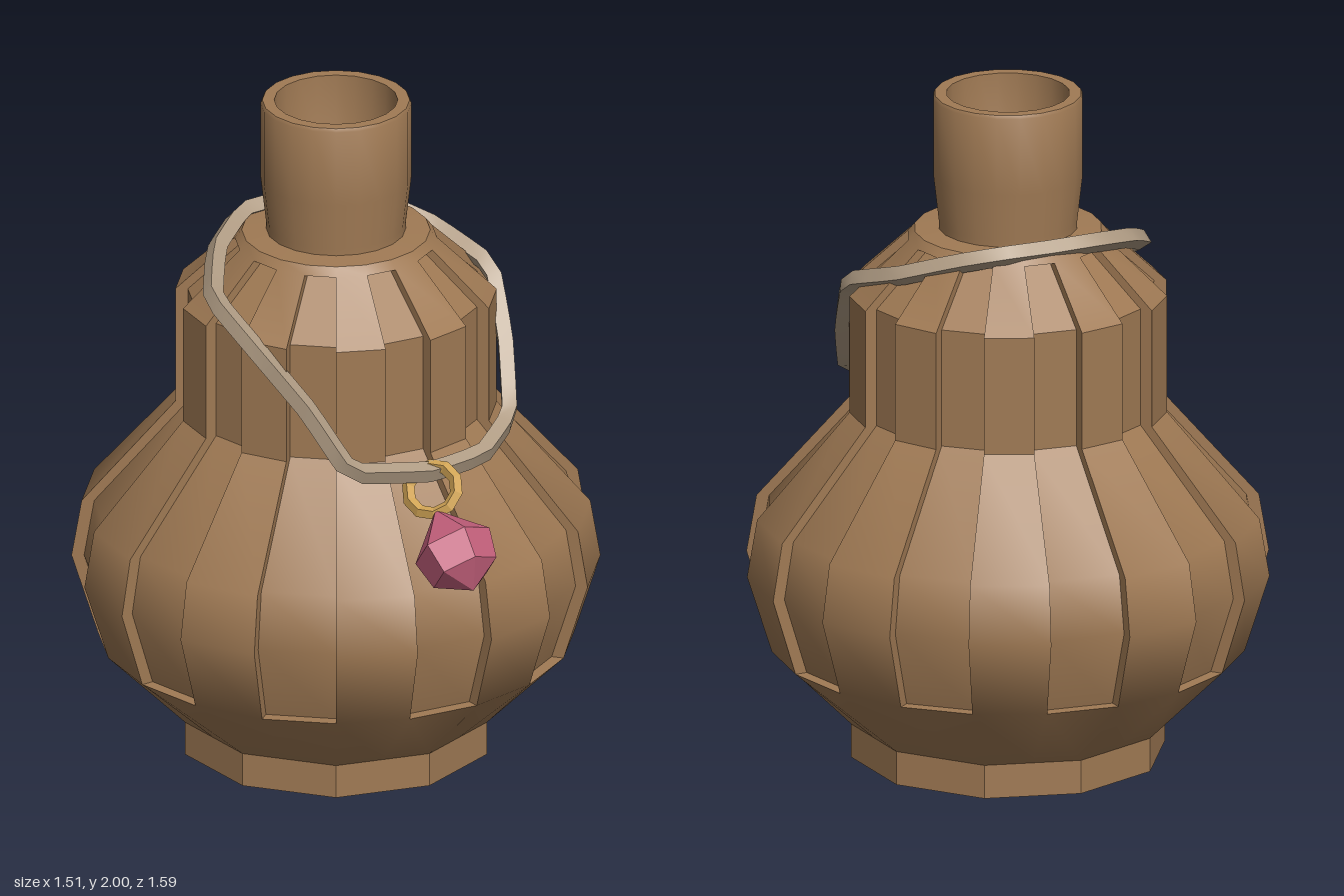
import * as THREE from 'three';
import { toCreasedNormals } from 'three/addons/utils/BufferGeometryUtils.js';

const CENTER_Z = -0.035;
const COLUMNS = 20;
const STEP = (Math.PI * 2) / COLUMNS;

function part(name, geometry, color, flatShading = false) {
  const material = new THREE.MeshStandardMaterial({ color, flatShading, side: THREE.DoubleSide });
  const mesh = new THREE.Mesh(geometry, material);
  mesh.name = name;
  return mesh;
}

// Faceted body: every other column is a recessed groove with walls and ledges
function bodyGeometry() {
  const inset = 0.036;
  // [radius, height]
  const rows = [
    [0, 0], [0.455, 0.02], [0.455, 0.12], [0.685, 0.35], [0.757, 0.58], [0.728, 0.75],
    [0.46, 1.06], [0.46, 1.41], [0.29, 1.57], [0.27, 1.595], [0.19, 1.6],
  ];
  const grooveStart = 3, grooveEnd = 8;
  const positions = [];
  const quad = (a, b, c, d) => {
    for (const p of [a, b, c, a, c, d]) positions.push(...p);
  };
  const point = (row, column, depth = 0) => {
    // The base is ten-sided, so its odd columns lie on the flats
    const flat = row < grooveStart && column % 2 ? Math.cos(STEP) : 1;
    const r = Math.max(0, rows[row][0] * flat - depth);
    const a = column * STEP;
    return [r * Math.sin(a), rows[row][1], -r * Math.cos(a)];
  };
  for (let c = 0; c < COLUMNS; c++) {
    const n = c + 1;
    for (let r = 0; r < rows.length - 1; r++) {
      const groove = c % 2 === 0 && r >= grooveStart && r < grooveEnd;
      const d = groove ? inset : 0;
      quad(point(r, c, d), point(r + 1, c, d), point(r + 1, n, d), point(r, n, d));
      if (groove) {
        quad(point(r, c), point(r + 1, c), point(r + 1, c, d), point(r, c, d));
        quad(point(r, n, d), point(r + 1, n, d), point(r + 1, n), point(r, n));
      }
    }
    if (c % 2 === 0) {
      const s = grooveStart, e = grooveEnd;
      quad(point(s, c), point(s, c, inset), point(s, n, inset), point(s, n));
      quad(point(e, n), point(e, n, inset), point(e, c, inset), point(e, c));
    }
  }
  const geometry = new THREE.BufferGeometry();
  geometry.setAttribute('position', new THREE.Float32BufferAttribute(positions, 3));
  return toCreasedNormals(geometry, 0.6);
}

export function createModel() {
  const model = new THREE.Group();
  model.name = 'bottle';
  const brown = 0xa07a54;

  const body = part('body', bodyGeometry(), brown);
  body.position.z = CENTER_Z;
  model.add(body);

  // Hollow neck
  const neckProfile = [
    [0.2, 1.58], [0.2, 1.62], [0.216, 1.76], [0.216, 1.99], [0.211, 2],
    [0.177, 2], [0.172, 1.8], [0.13, 1.66], [0, 1.64],
  ].map(([x, y]) => new THREE.Vector2(x, y));
  const neck = part('neck', toCreasedNormals(new THREE.LatheGeometry(neckProfile, COLUMNS), 0.6), brown);
  neck.position.z = CENTER_Z;
  model.add(neck);

  // Cord slung around the shoulder, low at the front
  const path = [
    [0, 1.6, -0.29], [0.15, 1.6, -0.28], [0.25, 1.57, -0.2], [0.36, 1.51, -0.06],
    [0.415, 1.44, 0.15], [0.37, 1.27, 0.28], [0.29, 1.1, 0.41], [0.13, 1.05, 0.5],
    [-0.05, 1.04, 0.5], [-0.27, 1.06, 0.41], [-0.34, 1.23, 0.3], [-0.43, 1.4, 0.17],
    [-0.43, 1.49, -0.04], [-0.31, 1.56, -0.19], [-0.15, 1.6, -0.29],
  ].map((p) => new THREE.Vector3(...p));
  const curve = new THREE.CatmullRomCurve3(path, true, 'catmullrom', 0.1);
  model.add(part('cord', toCreasedNormals(new THREE.TubeGeometry(curve, 45, 0.03, 4, true), 0.7), 0xb09c84));

  // Metal ring linking the cord to the charm
  const ring = part('ring', new THREE.TorusGeometry(0.073, 0.019, 4, 10), 0xd2a556, true);
  ring.position.set(-0.07, 1.0, 0.53);
  ring.lookAt(ring.position.clone().add(new THREE.Vector3(-0.6, 0.6, 0.4)));
  model.add(ring);

  // Faceted gem hanging forward from the ring
  const gemProfile = [[0, -0.15], [0.118, -0.03], [0.1, 0.06], [0, 0.12]]
    .map(([x, y]) => new THREE.Vector2(x, y));
  const gem = part('gem', new THREE.LatheGeometry(gemProfile, 6), 0xc4607c, true);
  gem.position.set(-0.1, 0.86, 0.69);
  gem.quaternion.setFromUnitVectors(
    new THREE.Vector3(0, 1, 0), new THREE.Vector3(-0.05, -0.65, 0.75).normalize());
  model.add(gem);

  return model;
}
